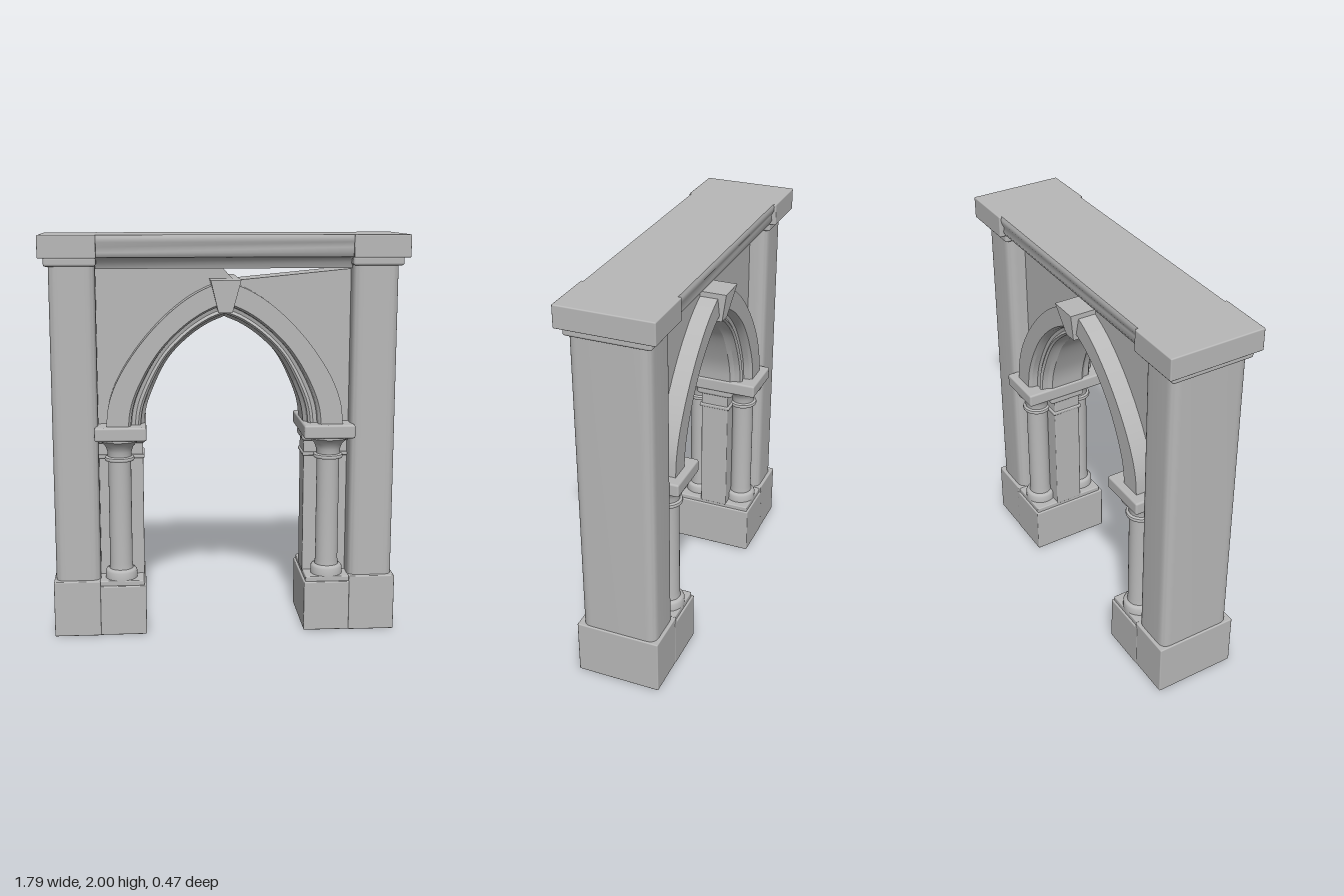
import * as THREE from 'three';
import { toCreasedNormals } from 'three/addons/utils/BufferGeometryUtils.js';
import { RoundedBoxGeometry } from 'three/addons/geometries/RoundedBoxGeometry.js';

const stone = new THREE.MeshStandardMaterial({ color: 0xb8b8b8 });
stone.name = 'stone';

function add(parent, name, geometry, x = 0, y = 0, z = 0) {
  const mesh = new THREE.Mesh(geometry, stone);
  mesh.name = name;
  mesh.position.set(x, y, z);
  parent.add(mesh);
  return mesh;
}

// softly rounded block given by its limits
function block(parent, name, x0, x1, y0, y1, z0, z1, r = 0.006) {
  return add(parent, name, new RoundedBoxGeometry(x1 - x0, y1 - y0, z1 - z0, 2, r),
    (x0 + x1) / 2, (y0 + y1) / 2, (z0 + z1) / 2);
}

// pointed arch: inner and outer edge of the left half, springing to apex
const spline = pts => new THREE.CatmullRomCurve3(pts.map(([x, y]) => new THREE.Vector3(x, y, 0)));
const outer = spline([[-0.587, 1.06], [-0.575, 1.17], [-0.534, 1.286], [-0.44, 1.44],
  [-0.307, 1.593], [-0.175, 1.7], [-0.063, 1.757], [0, 1.775]]);
const inner = spline([[-0.4, 1.06], [-0.392, 1.13], [-0.37, 1.206], [-0.28, 1.39],
  [-0.175, 1.5], [-0.08, 1.565], [0, 1.6]]);
const STEPS = 28;

// point on the arch: u runs -1..1 from left to right, t 0 inner to 1 outer
function archPoint(u, t) {
  const s = 1 - Math.abs(u);
  const p = inner.getPointAt(s).lerp(outer.getPointAt(s), t);
  if (u > 0) p.x = -p.x;
  return p;
}

// moulded ring swept along the arch from a cross-section of [t, z]
function archGeometry() {
  const front = [[1, 0.19], [0.42, 0.19], [0.36, 0.175], [0.34, 0.145], [0.24, 0.14],
    [0.16, 0.15], [0.1, 0.14], [0.08, 0.11], [0, 0.09]];
  const section = [...front, ...front.map(([t, z]) => [t, -z]).reverse()];
  const n = section.length, pos = [], idx = [];
  for (let i = 0; i <= 2 * STEPS; i++) {
    for (const [t, z] of section) {
      const p = archPoint(i / STEPS - 1, t);
      pos.push(p.x, p.y, z);
    }
  }
  for (let i = 0; i < 2 * STEPS; i++) {
    for (let j = 0; j < n; j++) {
      const a = i * n + j, b = i * n + (j + 1) % n;
      idx.push(a, b, b + n, a, b + n, a + n);
    }
  }
  const g = new THREE.BufferGeometry();
  g.setAttribute('position', new THREE.Float32BufferAttribute(pos, 3));
  g.setIndex(idx);
  return toCreasedNormals(g, 0.5);
}

// wall above the arch, with the narrow open wedge under the beam
function spandrelGeometry() {
  const shape = new THREE.Shape();
  shape.moveTo(-0.65, 1.05);
  for (let i = 0; i <= 2 * STEPS; i++) {
    const p = archPoint(i / STEPS - 1, 0.6);
    shape.lineTo(p.x, p.y);
  }
  for (const [x, y] of [[0.65, 1.05], [0.65, 1.833], [0.05, 1.775], [-0.02, 1.85], [-0.65, 1.85]])
    shape.lineTo(x, y);
  const g = new THREE.ExtrudeGeometry(shape, { depth: 0.2, bevelEnabled: false });
  return g.translate(0, 0, -0.1);
}

// moulded beam running along x
function beamGeometry() {
  const half = [[0.222, 2], [0.228, 1.985], [0.226, 1.965], [0.213, 1.94], [0.218, 1.915],
    [0.205, 1.893], [0.16, 1.885], [0.14, 1.865], [0.13, 1.835]];
  const pts = [...half, ...half.map(([z, y]) => [-z, y]).reverse()];
  const shape = new THREE.Shape(pts.map(([z, y]) => new THREE.Vector2(z, y)));
  const g = new THREE.ExtrudeGeometry(shape, { depth: 1.28, bevelEnabled: false });
  g.translate(0, 0, -0.64).rotateY(Math.PI / 2);
  return toCreasedNormals(g, 0.8);
}

// tall pillar with strongly rounded corners
function pillarGeometry() {
  const w = 0.112, d = 0.194, r = 0.05;
  const s = new THREE.Shape();
  s.moveTo(-w + r, -d);
  s.lineTo(w - r, -d);
  s.quadraticCurveTo(w, -d, w, -d + r);
  s.lineTo(w, d - r);
  s.quadraticCurveTo(w, d, w - r, d);
  s.lineTo(-w + r, d);
  s.quadraticCurveTo(-w, d, -w, d - r);
  s.lineTo(-w, -d + r);
  s.quadraticCurveTo(-w, -d, -w + r, -d);
  const g = new THREE.ExtrudeGeometry(s, { depth: 1.6, bevelEnabled: false, curveSegments: 8 });
  return toCreasedNormals(g.rotateX(-Math.PI / 2), 0.6);
}

// keystone: a wedge that widens and leans outward toward the top
function keystoneGeometry() {
  const g = new THREE.BoxGeometry(1, 1, 1);
  const p = g.attributes.position;
  for (let i = 0; i < p.count; i++) {
    const top = p.getY(i) > 0;
    p.setXYZ(i, Math.sign(p.getX(i)) * (top ? 0.074 : 0.034), top ? 1.785 : 1.625,
      Math.sign(p.getZ(i)) * (top ? 0.235 : 0.2));
  }
  return g.toNonIndexed().translate(0, 0, 0);
}

// turned column with base ring, neck ring and flared capital
function columnGeometry() {
  const profile = [[0, 0.27], [0.08, 0.27], [0.08, 0.315], [0.074, 0.325], [0.06, 0.33],
    [0.057, 0.36], [0.057, 0.885], [0.072, 0.888], [0.075, 0.896], [0.072, 0.905], [0.06, 0.91],
    [0.061, 0.935], [0.07, 0.96], [0.088, 0.98], [0.1, 0.99], [0.1, 1.01], [0, 1.01]];
  const g = new THREE.LatheGeometry(profile.map(([x, y]) => new THREE.Vector2(x, y)), 32);
  return toCreasedNormals(g, 0.7);
}

export function createModel() {
  const gate = new THREE.Group();
  gate.name = 'stoneArchway';

  for (const s of [-1, 1]) {
    const side = new THREE.Group();
    side.name = s > 0 ? 'leftSupport' : 'rightSupport';
    // mirrored block: a is the limit nearer the centre, b the outer one
    const pair = (name, a, b, ...rest) =>
      block(side, name, Math.min(a * s, b * s), Math.max(a * s, b * s), ...rest);

    // outer pillar
    pair('pillarPlinth', 0.63, 0.862, 0, 0.285, -0.208, 0.22);
    add(side, 'pillar', pillarGeometry(), s * 0.74, 0.27, 0.003);
    pair('pillarNeck', 0.622, 0.872, 1.85, 1.895, -0.207, 0.207, 0.012);
    pair('pillarCap', 0.62, 0.897, 1.89, 2, -0.238, 0.236);

    // inner pier and its columns
    pair('pierPlinth', 0.4, 0.645, 0, 0.255, -0.21, 0.215);
    pair('pierPlinthTop', 0.41, 0.64, 0.24, 0.28, -0.2, 0.2);
    pair('pier', 0.407, 0.645, 0.27, 1.01, -0.075, 0.075);
    pair('pierRing', 0.4, 0.645, 0.886, 0.905, -0.085, 0.085);
    pair('pierCapital', 0.395, 0.645, 0.965, 1.01, -0.1, 0.1, 0.015);
    pair('abacus', 0.39, 0.645, 1, 1.068, -0.228, 0.228, 0.01);
    for (const f of [-1, 1]) add(side, 'column', columnGeometry(), s * 0.525, 0, f * 0.122);
    gate.add(side);
  }

  // arch and top
  add(gate, 'archRing', archGeometry());
  add(gate, 'spandrelWall', spandrelGeometry());
  add(gate, 'keystone', keystoneGeometry());
  add(gate, 'topBeam', beamGeometry());

  gate.children.forEach(c => { c.position.x -= 0.006; });
  return gate;
}
